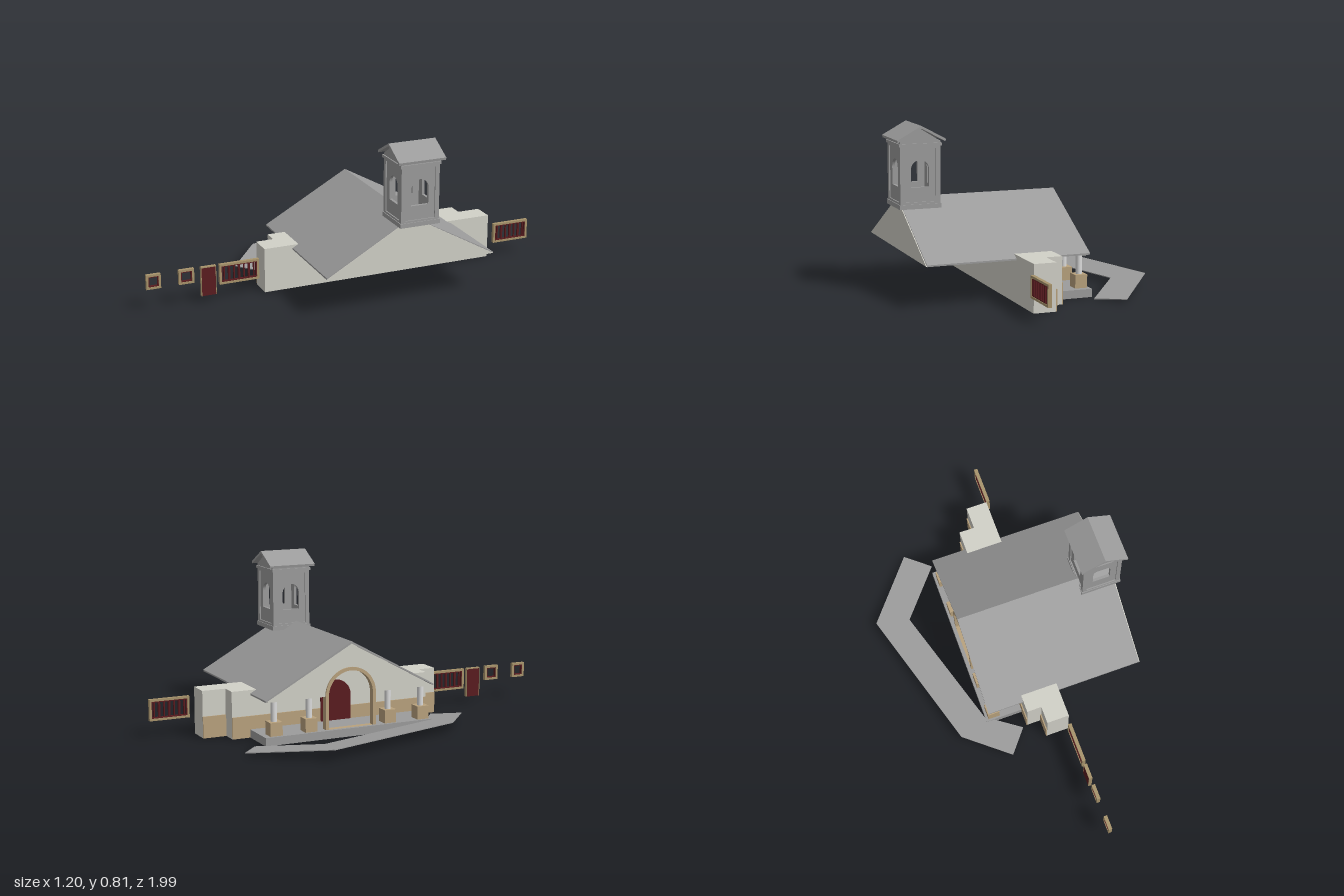
import * as THREE from 'three';

export function createModel() {
  const model = new THREE.Group();
  const site = new THREE.Group(); // the whole site is turned a little about y
  site.name = 'site';
  site.rotation.y = -0.288;
  model.add(site);

  const material = (name, color, side = THREE.FrontSide) => {
    const m = new THREE.MeshStandardMaterial({ color, side });
    m.name = name;
    return m;
  };
  const wall = material('pale plaster', 0xd2d1c8);
  const grey = material('grey roof and stone', 0x9c9c9c, THREE.DoubleSide);
  const tan = material('tan stone', 0xb9a27e);
  const white = material('white column', 0xdcdcdc);
  const red = material('dark red wood', 0x5a1c20);
  const frameTan = material('window frame', 0xa8946c);

  const add = (name, geometry, mat, parent = site) => {
    const mesh = new THREE.Mesh(geometry, mat);
    mesh.name = name;
    parent.add(mesh);
    return mesh;
  };
  // Box given by its limits on each axis
  const box = (name, x0, x1, y0, y1, z0, z1, mat, parent) =>
    add(name, new THREE.BoxGeometry(x1 - x0, y1 - y0, z1 - z0)
      .translate((x0 + x1) / 2, (y0 + y1) / 2, (z0 + z1) / 2), mat, parent);
  const polygon = pts => new THREE.Shape(pts.map(p => new THREE.Vector2(...p)));
  const extrude = (shape, depth) =>
    new THREE.ExtrudeGeometry(shape, { depth, bevelEnabled: false, curveSegments: 16 });
  // Extrudes a (z, y) section from x0 to x1
  const section = (name, shape, x0, x1, mat) =>
    add(name, extrude(shape, x1 - x0).rotateY(-Math.PI / 2).translate(x1, 0, 0), mat);
  // Round-headed outline centred on cx
  const arch = (Type, cx, r, bottom, spring) => {
    const s = new Type();
    s.moveTo(cx - r, bottom);
    s.lineTo(cx + r, bottom);
    s.lineTo(cx + r, spring);
    s.absarc(cx, spring, r, 0, Math.PI, false);
    s.lineTo(cx - r, bottom);
    return s;
  };

  // Main walls with stepped ends
  const mid = -0.16;
  box('mainWall', -0.19, 0, 0, 0.23, -0.70, 0.346, wall);
  box('backWing', -0.11, 0, 0, 0.23, -0.817, -0.70, wall);
  box('frontWing', -0.115, 0, 0, 0.23, 0.346, 0.435, wall);
  box('wainscot', -0.196, -0.19, 0, 0.105, -0.70, 0.346, tan);
  box('wingWainscot', -0.116, -0.11, 0, 0.105, -0.817, -0.70, tan);
  box('wingWainscot', -0.121, -0.115, 0, 0.105, 0.346, 0.435, tan);
  section('upperWall', polygon([[mid - 0.4, 0.23], [mid + 0.4, 0.23], [mid, 0.445]]),
    -0.19, -0.17, wall);
  section('entranceDoor', arch(THREE.Shape, mid, 0.08, 0.04, 0.16), -0.2, -0.191, red);

  // Pitched roof, open beneath, with a closed rear gable
  section('mainRoof', polygon([
    [mid - 0.445, 0.213], [mid - 0.445, 0.205], [mid, 0.448], [mid + 0.445, 0.205],
    [mid + 0.445, 0.213], [mid, 0.459],
  ]), -0.375, 0.438, grey);
  section('rearGable', polygon([[mid - 0.445, 0.207], [mid + 0.445, 0.207], [mid, 0.457]]),
    0.43, 0.442, wall);

  // Porch gable with an arch cut into it
  const gable = new THREE.Shape();
  gable.moveTo(mid - 0.43, 0.2);
  gable.lineTo(mid - 0.12, 0.2);
  gable.absarc(mid, 0.2, 0.12, Math.PI, 0, true);
  gable.lineTo(mid + 0.43, 0.2);
  gable.lineTo(mid + 0.43, 0.212);
  gable.lineTo(mid, 0.45);
  gable.lineTo(mid - 0.43, 0.212);
  section('porchGable', gable, -0.36, -0.33, wall);
  const trim = arch(THREE.Shape, mid, 0.133, 0.04, 0.2);
  trim.holes.push(arch(THREE.Path, mid, 0.117, 0.0401, 0.2));
  section('archTrim', trim, -0.367, -0.335, tan);

  // Porch platform, pedestals and columns
  box('platform', -0.385, -0.19, 0, 0.04, mid - 0.45, mid + 0.43, grey);
  for (const d of [-0.39, -0.21, 0.21, 0.39]) {
    const z = mid + d, x = -0.342;
    box('pedestal', x - 0.031, x + 0.031, 0.04, 0.105, z - 0.031, z + 0.031, tan);
    add('column', new THREE.CylinderGeometry(0.015, 0.015, 0.1, 20).translate(x, 0.155, z), white);
  }

  // Bell tower: four walls with round-headed openings
  const tower = new THREE.Group();
  tower.name = 'bellTower';
  tower.position.set(0.363, 0, -0.188);
  site.add(tower);
  const rect = (w, y0, y1) => [[-w, y0], [w, y0], [w, y1], [-w, y1]];
  const panel = polygon(rect(0.094, 0.42, 0.74));
  panel.holes.push(arch(THREE.Path, 0, 0.045, 0.52, 0.605));
  const border = polygon(rect(0.1, 0.42, 0.74));
  border.holes.push(polygon(rect(0.078, 0.45, 0.705)));
  for (let k = 0; k < 4; k++) {
    const side = new THREE.Group();
    side.name = 'towerSide';
    side.rotation.y = k * Math.PI / 2;
    tower.add(side);
    add('towerWall', extrude(panel, 0.014).translate(0, 0, 0.08), grey, side);
    add('towerBorder', extrude(border, 0.006).translate(0, 0, 0.094), grey, side);
  }
  box('towerBase', -0.104, 0.104, 0.418, 0.44, -0.104, 0.104, grey, tower);
  box('towerCornice', -0.106, 0.106, 0.716, 0.73, -0.106, 0.106, grey, tower);
  add('towerGable', extrude(polygon([[-0.1, 0.738], [0.1, 0.738], [0, 0.8]]), 0.2)
    .translate(0, 0, -0.1), grey, tower);
  add('towerRoof', extrude(polygon([
    [-0.12, 0.75], [-0.118, 0.738], [0, 0.802], [0.118, 0.738], [0.12, 0.75], [0, 0.815],
  ]), 0.246).translate(0, 0, -0.123), grey, tower);

  // Row of free-standing windows and a door, in line with the rear wall
  const windowUnit = (name, x, z0, z1, y0, y1, bars) => {
    const unit = new THREE.Group();
    unit.name = name;
    site.add(unit);
    const ring = (label, inset, t, half, mat) => {
      const a = z0 + inset, b = z1 - inset, c = y0 + inset, d = y1 - inset;
      box(label, x - half, x + half, c, c + t, a, b, mat, unit);
      box(label, x - half, x + half, d - t, d, a, b, mat, unit);
      box(label, x - half, x + half, c + t, d - t, a, a + t, mat, unit);
      box(label, x - half, x + half, c + t, d - t, b - t, b, mat, unit);
    };
    ring('outerFrame', 0, 0.011, 0.009, frameTan);
    ring('sash', 0.011, 0.005, 0.006, red);
    for (let i = 1; i <= bars; i++) {
      const z = z0 + (z1 - z0) * i / (bars + 1);
      const w = i % 2 ? 0.003 : 0.005;
      box('bar', x - 0.005, x + 0.005, y0 + 0.012, y1 - 0.012, z - w, z + w, red, unit);
    }
  };
  windowUnit('largeWindow', -0.006, 0.465, 0.671, 0.08, 0.185, 7);
  windowUnit('largeWindow', 0.016, -1.04, -0.839, 0.08, 0.185, 7);
  windowUnit('smallWindow', -0.006, 0.8, 0.878, 0.112, 0.187, 0);
  windowUnit('smallWindow', -0.006, 0.968, 1.041, 0.112, 0.187, 0);
  box('sideDoor', -0.014, 0.002, 0.034, 0.18, 0.691, 0.763, red);
  box('sideDoorFrame', -0.015, 0.003, 0.18, 0.185, 0.688, 0.766, frameTan);
  for (const z of [0.688, 0.763]) box('sideDoorFrame', -0.015, 0.003, 0.034, 0.18, z, z + 0.003, frameTan);

  // Thin approach path, sloping down towards the porch
  const path = extrude(polygon([
    [-0.26, 0.87], [-0.6, 0.63], [-0.6, -0.14], [-0.44, -0.37],
    [-0.31, -0.28], [-0.44, -0.12], [-0.445, 0.55], [-0.17, 0.74],
  ]), 0.004).rotateX(-Math.PI / 2);
  const p = path.attributes.position;
  for (let i = 0; i < p.count; i++) p.setY(i, p.getY(i) + 0.048 - (p.getX(i) + 0.6) * 0.11);
  path.computeVertexNormals();
  add('approachPath', path, grey, model);

  return model;
}
